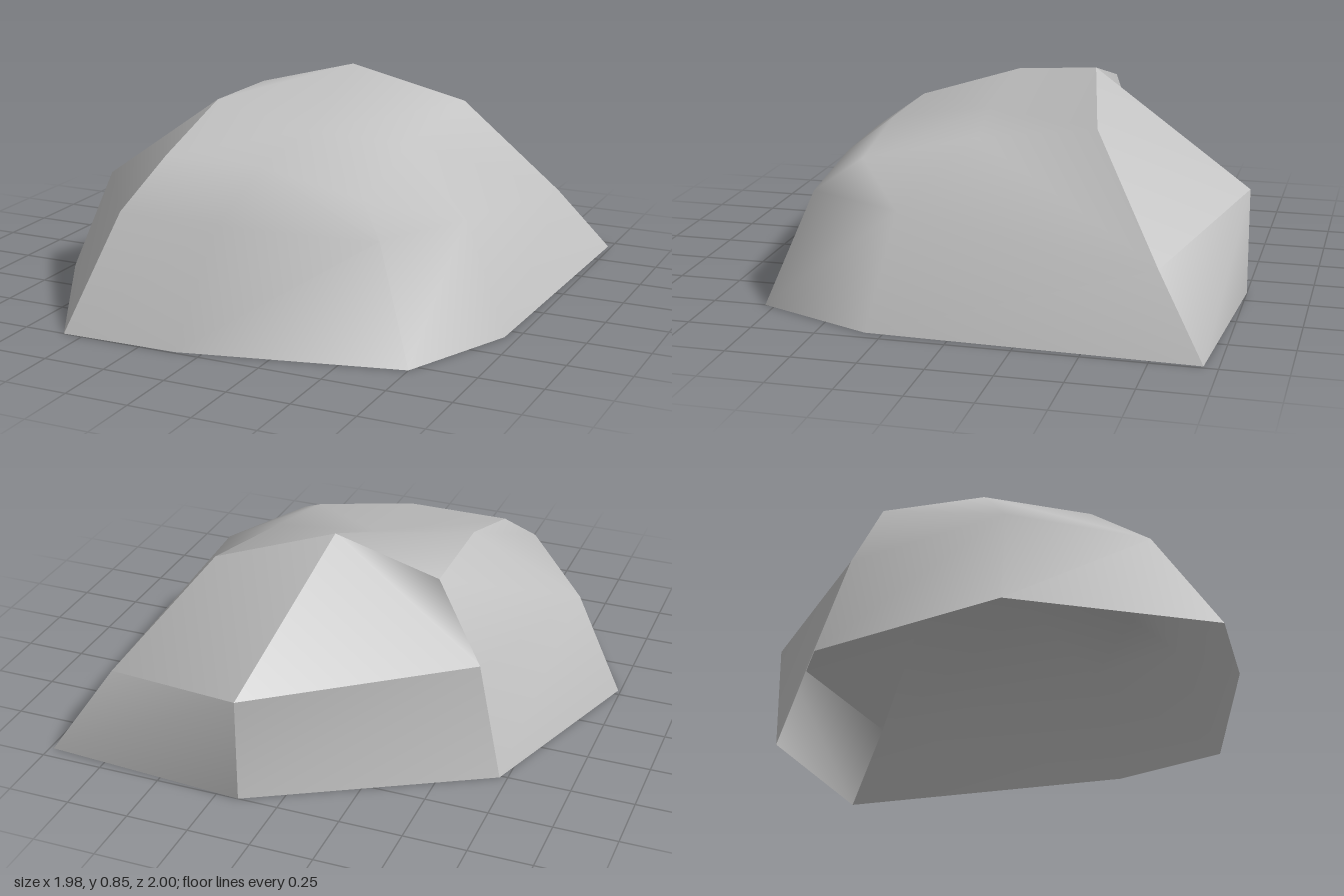
import * as THREE from 'three';

// Hollow boulder: three rings of eight points (ground, shoulder, crown rim) and one crown point
const ground = [[-0.99, 0, 0.28], [-0.58, 0, 1], [-0.1, 0, 0.99], [0.75, 0, 0.79],
  [0.95, 0, 0.32], [0.985, 0, -0.945], [0.16, 0, -1], [-0.72, 0, -0.51]];
const shoulder = [[-0.81, 0.425, 0.25], [-0.48, 0.425, 0.73], [-0.06, 0.42, 0.72], [0.57, 0.42, 0.645],
  [0.76, 0.42, 0.25], [0.81, 0.285, -0.75], [0.16, 0.425, -1], [-0.6, 0.42, -0.42]];
const rim = [[-0.41, 0.735, 0.06], [-0.41, 0.6, 0.49], [0.01, 0.6, 0.49], [0.43, 0.525, 0.49],
  [0.43, 0.635, 0.03], [0.48, 0.71, -0.455], [0.015, 0.845, -0.355], [-0.41, 0.73, -0.36]];
const crown = [0.01, 0.655, 0.08];
const points = [...ground, ...shoulder, ...rim, crown];
const G = 0, S = 8, R = 16, CROWN = 24;

// Triangles of the lower and upper wall in one of the eight columns
function lowerWall(i) {
  const j = (i + 1) % 8;
  return [G + i, G + j, S + j, G + i, S + j, S + i];
}
function upperWall(i) {
  const j = (i + 1) % 8;
  return [S + j, R + j, R + i, S + j, R + i, S + i];
}

export function createModel() {
  const rock = new THREE.Group();
  rock.name = 'boulder';
  const stone = new THREE.MeshStandardMaterial({ color: 0xc0c0c0, side: THREE.DoubleSide });
  stone.name = 'grey stone';

  // Each patch is smooth inside and creased along its border
  function addPatch(name, index) {
    const used = [...new Set(index)];
    const geometry = new THREE.BufferGeometry();
    geometry.setAttribute('position',
      new THREE.Float32BufferAttribute(used.flatMap((k) => points[k]), 3));
    geometry.setIndex(index.map((k) => used.indexOf(k)));
    geometry.computeVertexNormals();
    const mesh = new THREE.Mesh(geometry, stone);
    mesh.name = name;
    rock.add(mesh);
  }

  // Crown: a fan around the crown point, with one corner cut across
  const fan = [0, 1, 2, 3, 4, 5].flatMap((i) => [CROWN, R + i, R + i + 1]);
  const crownFaces = [...fan, CROWN, R + 6, R, R + 6, R + 7, R];

  // Rounded front, right flank and crown
  addPatch('frontAndCrown', [1, 2, 3, 4].flatMap((i) => [...lowerWall(i), ...upperWall(i)]).concat(crownFaces));
  // Rounded side
  addPatch('sideFlank', [7, 0].flatMap((i) => [...lowerWall(i), ...upperWall(i)]));
  // Flat broken facets at the back
  for (const i of [5, 6]) {
    addPatch('backLowerFacet' + (i - 4), lowerWall(i));
    addPatch('backUpperFacet' + (i - 4), upperWall(i));
  }
  return rock;
}
